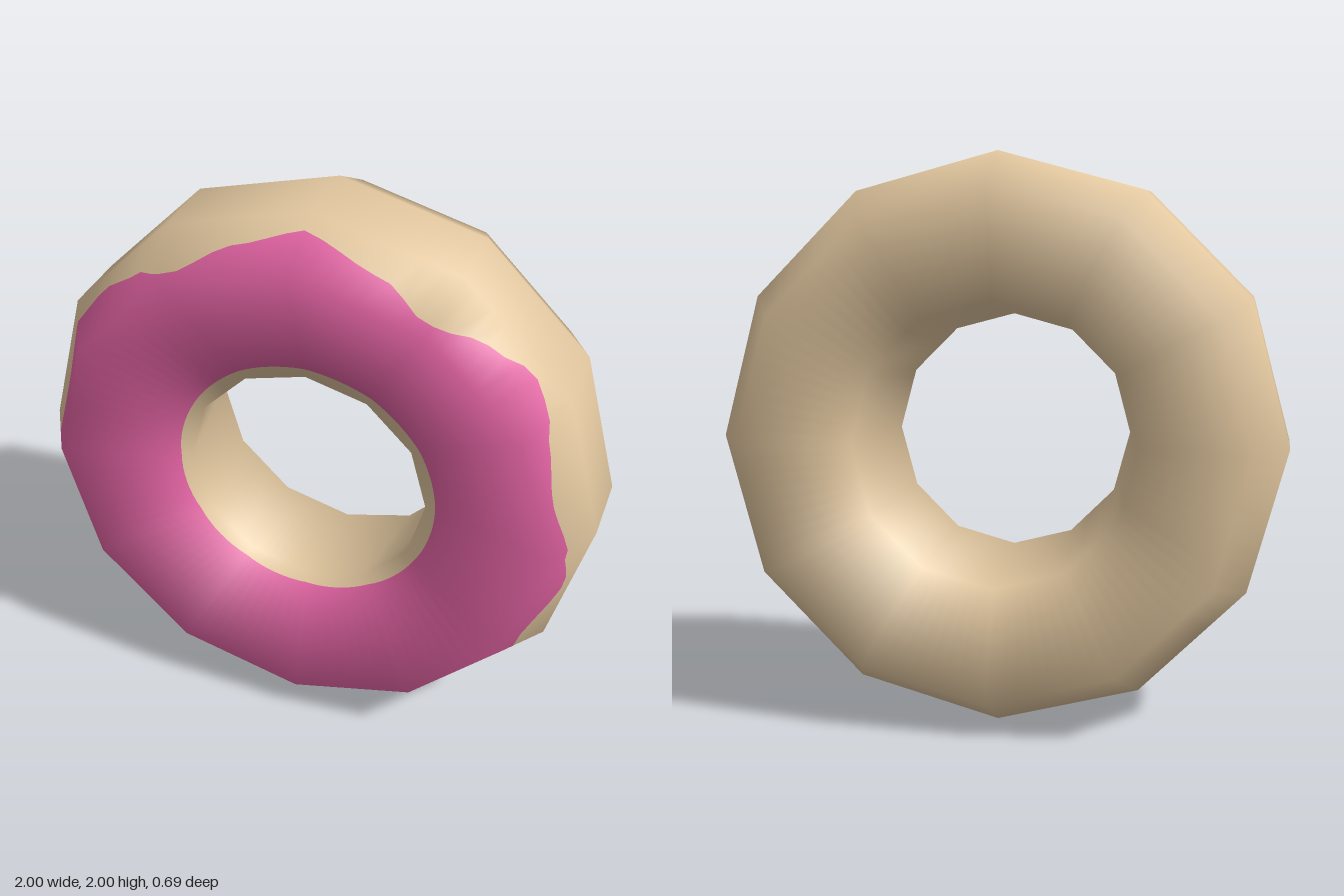
import * as THREE from 'three';

const SIDES = 12, STEPS = 8;

// Cross-section of the ring as [radius, z], counter-clockwise from the outer front edge
const SECTION = [
  [1, 0.14], [0.88, 0.345], [0.43, 0.21],
  [0.5, -0.23], [0.88, -0.345], [1, -0.12],
];
const N = SECTION.length;

// Smooth normal at each section corner
const NORMALS = SECTION.map((p, i) => {
  const a = SECTION[(i + N - 1) % N], b = SECTION[(i + 1) % N];
  const n = new THREE.Vector2();
  for (const [s, e] of [[a, p], [p, b]]) n.add(new THREE.Vector2(e[1] - s[1], s[0] - e[0]).normalize());
  n.normalize();
  return [n.x, n.y];
});

// Wavy outer edge of the icing: [degrees, z]
const EDGE = [
  [0, 0.26], [12, 0.28], [26, 0.25], [39, 0.175], [48, 0.22], [61, 0.31], [73, 0.24], [90, 0.2],
  [104, 0.23], [119, 0.31], [130, 0.23], [140, 0.19], [152, 0.23], [163, 0.27], [180, 0.255],
  [204, 0.22], [219, 0.19], [232, 0.23], [246, 0.22], [256, 0.23], [270, 0.29], [283, 0.2],
  [302, 0.22], [317, 0.23], [331, 0.29], [346, 0.175], [360, 0.26],
];

// Section position of the icing's outer edge
function outerEdge(deg) {
  let i = 0;
  while (i < EDGE.length - 2 && deg > EDGE[i + 1][0]) i++;
  const [a, za] = EDGE[i], [b, zb] = EDGE[i + 1];
  const z = THREE.MathUtils.lerp(za, zb, THREE.MathUtils.smoothstep(deg, a, b));
  return (z - SECTION[0][1]) / (SECTION[1][1] - SECTION[0][1]);
}

// Section position of the icing's inner edge, a circle around the hole
function innerEdge(deg) {
  const half = 180 / SIDES, rad = Math.PI / 180;
  const chord = Math.cos(half * rad) / Math.cos((deg % (2 * half) - half) * rad);
  return 1 + (SECTION[1][0] - 0.468 / chord) / (SECTION[1][0] - SECTION[2][0]);
}

// Interpolate a table of pairs at section position t
function along(table, t) {
  const i = Math.floor(t), f = t - i, a = table[i % N], b = table[(i + 1) % N];
  return [a[0] + (b[0] - a[0]) * f, a[1] + (b[1] - a[1]) * f];
}

// Band of the ring; rows(deg) lists the section positions it passes through
function band(rows) {
  const pos = [], nor = [], index = [];
  const count = rows(0).length, columns = SIDES * STEPS;
  for (let c = 0; c <= columns; c++) {
    const k = Math.floor(c / STEPS), f = (c % STEPS) / STEPS;
    const a = k * 2 * Math.PI / SIDES, b = (k + 1) * 2 * Math.PI / SIDES;
    const dx = THREE.MathUtils.lerp(Math.cos(a), Math.cos(b), f);
    const dy = THREE.MathUtils.lerp(Math.sin(a), Math.sin(b), f);
    rows(c * 360 / columns).forEach((t, j) => {
      const [r, z] = along(SECTION, t), [nr, nz] = along(NORMALS, t);
      const n = new THREE.Vector3(nr * dx, nr * dy, nz).normalize();
      pos.push(r * dx, 1 + r * dy, z);
      nor.push(n.x, n.y, n.z);
      if (c < columns && j < count - 1) {
        const p = c * count + j, q = p + count;
        index.push(p, q, q + 1, p, q + 1, p + 1);
      }
    });
  }
  const g = new THREE.BufferGeometry();
  g.setAttribute('position', new THREE.Float32BufferAttribute(pos, 3));
  g.setAttribute('normal', new THREE.Float32BufferAttribute(nor, 3));
  g.setIndex(index);
  return g;
}

export function createModel() {
  const group = new THREE.Group();
  group.name = 'doughnut';
  const doughColor = new THREE.MeshStandardMaterial({ color: 0xe2c79f });
  doughColor.name = 'dough tan';
  const icingColor = new THREE.MeshStandardMaterial({ color: 0xe263a3 });
  icingColor.name = 'icing pink';

  // Icing covers the sloping front face and laps over the outer rim
  const icing = new THREE.Mesh(band((d) => [outerEdge(d), 1, innerEdge(d)]), icingColor);
  icing.name = 'icing';

  // Dough fills the rest of the ring
  const dough = new THREE.Mesh(
    band((d) => [innerEdge(d), 2, 3, 4, 5, 6, 6 + outerEdge(d)]), doughColor);
  dough.name = 'dough';

  group.add(dough, icing);
  return group;
}
